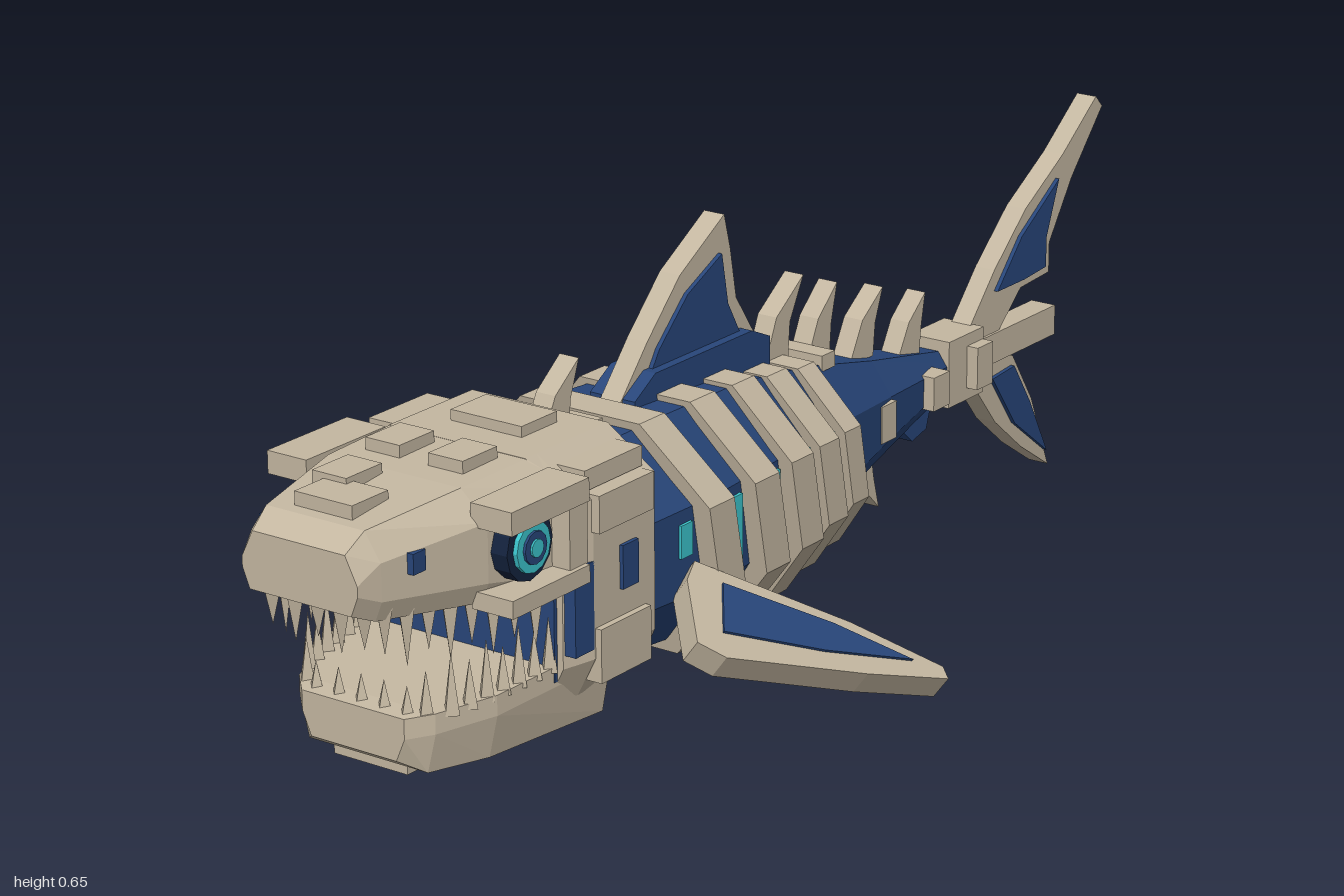
import * as THREE from 'three';

export function createModel() {
  const root = new THREE.Group();
  const mat = (name, color) => Object.assign(new THREE.MeshStandardMaterial({ color }), { name });
  const bone = mat('bone', 0xc4b7a1);
  const navy = mat('navy', 0x28467a);
  const teal = mat('teal', 0x3cc4cc);
  const dark = mat('dark', 0x14233f);

  const add = (name, geo, m) => {
    const g = geo.index ? geo.toNonIndexed() : geo;
    g.computeVertexNormals(); // faceted look
    const mesh = new THREE.Mesh(g, m);
    mesh.name = name;
    root.add(mesh);
    return mesh;
  };
  // box from centre and size
  const box = (name, m, x, y, z, w, h, d) =>
    add(name, new THREE.BoxGeometry(w, h, d).translate(x, y, z), m);
  const pair = (name, m, x, ...rest) => [-1, 1].forEach((s) => box(name, m, s * x, ...rest));

  // skin over cross-sections listed front to back; each ring runs counter-clockwise from the front
  const loft = (name, m, rings) => {
    const p = [];
    const tri = (...v) => v.forEach((a) => p.push(...a));
    const n = rings[0].length;
    for (let i = 0; i < rings.length - 1; i++) {
      for (let k = 0; k < n; k++) {
        const j = (k + 1) % n;
        const [a, b, c, d] = [rings[i][k], rings[i][j], rings[i + 1][k], rings[i + 1][j]];
        tri(a, c, b);
        tri(b, c, d);
      }
    }
    const last = rings[rings.length - 1];
    for (let k = 1; k < n - 1; k++) {
      tri(rings[0][0], rings[0][k], rings[0][k + 1]);
      tri(last[0], last[k + 1], last[k]);
    }
    const g = new THREE.BufferGeometry();
    g.setAttribute('position', new THREE.Float32BufferAttribute(p, 3));
    return add(name, g, m);
  };
  // mirror a right-half profile (bottom to top) into a full ring
  const ring = (z, half) => [
    ...half.map(([x, y]) => [x, y, z]),
    ...half.slice().reverse().map(([x, y]) => [-x, y, z]),
  ];
  const octHalf = (w, yb, yt) => {
    const h = yt - yb;
    return [[w * 0.55, yb], [w, yb + h * 0.3], [w, yt - h * 0.3], [w * 0.5, yt]];
  };
  const shapeOf = (pts) => new THREE.Shape(pts.map(([a, b]) => new THREE.Vector2(a, b)));
  const extrude = (shape, depth) =>
    new THREE.ExtrudeGeometry(shape, { depth, bevelEnabled: false }).translate(0, 0, -depth / 2);
  // upright plate on the centre line from (z, y) points
  const slab = (name, m, pts, t) => add(name, extrude(shapeOf(pts), t).rotateY(-Math.PI / 2), m);

  // tapering body: z, half width, bottom, top
  const body = [
    [0.5, 0.185, 0.11, 0.43], [0.3, 0.18, 0.09, 0.43], [0.1, 0.155, 0.09, 0.42], [-0.1, 0.115, 0.115, 0.385],
    [-0.3, 0.075, 0.165, 0.335], [-0.55, 0.028, 0.215, 0.28],
  ];
  loft('body', navy, body.map(([z, w, b, t]) => ring(z, octHalf(w, b, t))));
  const at = (z) => {
    let i = 0;
    while (i < body.length - 2 && z < body[i + 1][0]) i++;
    const f = (z - body[i][0]) / (body[i + 1][0] - body[i][0]);
    return body[i].map((v, k) => v + f * (body[i + 1][k] - v));
  };

  // ribs: leaning hoops around the body
  [[0.32, 0.06], [0.19, 0.06], [0.08, 0.055], [-0.015, 0.05], [-0.1, 0.042]].forEach(([z, d]) => {
    const [, w, b, t] = at(z);
    const loop = (e) => ring(0, octHalf(w + e, b - e * 0.6, t + e * 0.4));
    const s = shapeOf(loop(0.032));
    s.holes.push(new THREE.Path(loop(-0.025).map(([x, y]) => new THREE.Vector2(x, y))));
    const g = extrude(s, d);
    const p = g.attributes.position;
    for (let i = 0; i < p.count; i++) p.setZ(i, p.getZ(i) + z + (p.getY(i) - 0.25) * 0.2);
    add('rib', g, bone);
  });
  // glowing panels between the ribs
  [[0.385, 0.05], [0.252, 0.11], [0.138, 0.11], [0.035, 0.11], [-0.055, 0.1]].forEach(([z, h]) => {
    const [, w] = at(z);
    pair('glowPanel', teal, w, h < 0.1 ? 0.285 : 0.255, z, 0.009, h, 0.028);
  });

  // bone bands on the back and tail
  box('neckBand', bone, 0, 0.435, 0.43, 0.12, 0.03, 0.035);
  box('backBand', bone, 0, 0.38, -0.15, 0.12, 0.025, 0.035);
  box('tailStrap', bone, 0, 0.25, -0.28, 0.17, 0.06, 0.04);
  box('tailStrap', bone, 0, 0.25, -0.45, 0.14, 0.055, 0.045);

  // swept spines above and below the tail: front base z, y, tip z, y
  [[0.5, 0.42, 0.41, 0.53], [-0.04, 0.38, -0.145, 0.51], [-0.15, 0.355, -0.235, 0.475],
    [-0.27, 0.33, -0.36, 0.435], [-0.4, 0.295, -0.48, 0.395]].forEach(([z, y, tz, ty]) =>
    slab('backSpine', bone, [[z, y], [z - 0.065, y], [z - 0.07, y + (ty - y) * 0.5], [tz, ty], [z - 0.035, y + (ty - y) * 0.62]], 0.034));
  [[-0.12, 0.16, -0.2, 0.08], [-0.27, 0.185, -0.355, 0.075]].forEach(([z, y, tz, ty]) =>
    slab('bellySpine', bone, [[z, y], [z - 0.06, y], [z - 0.07, (y + ty) / 2], [tz, ty], [z - 0.04, y * 0.4 + ty * 0.6]], 0.034));
  slab('bellyFin', navy, [[-0.13, 0.17], [-0.24, 0.18], [-0.21, 0.14], [-0.16, 0.14]], 0.045);
  slab('bellyFin', navy, [[-0.37, 0.22], [-0.5, 0.23], [-0.48, 0.17], [-0.44, 0.16]], 0.045);

  // dorsal fin
  slab('dorsalRim', bone, [[0.32, 0.43], [0.25, 0.51], [0.17, 0.59], [0.06, 0.655], [0.045, 0.6], [0.03, 0.52], [-0.025, 0.44]], 0.036);
  slab('dorsalWeb', navy, [[0.26, 0.45], [0.23, 0.495], [0.16, 0.56], [0.075, 0.6], [0.06, 0.52], [0.02, 0.45]], 0.05);
  slab('dorsalBase', navy, [[0.31, 0.4], [0.31, 0.44], [0.26, 0.47], [0.02, 0.47], [-0.025, 0.45], [-0.025, 0.38]], 0.08);

  // tail fin
  box('tailJoint', bone, 0, 0.25, -0.57, 0.075, 0.11, 0.1);
  box('tailJointCap', bone, 0, 0.25, -0.595, 0.115, 0.07, 0.045);
  box('tailBar', bone, 0, 0.25, -0.73, 0.045, 0.05, 0.26);
  slab('upperTailRim', bone, [[-0.58, 0.27], [-0.68, 0.38], [-0.77, 0.46], [-0.88, 0.525], [-0.98, 0.6], [-1, 0.58], [-0.91, 0.48], [-0.845, 0.385], [-0.845, 0.335], [-0.76, 0.33], [-0.68, 0.26]], 0.036);
  slab('upperTailWeb', navy, [[-0.68, 0.345], [-0.75, 0.42], [-0.86, 0.49], [-0.825, 0.4], [-0.825, 0.35], [-0.76, 0.345]], 0.05);
  slab('lowerTailRim', bone, [[-0.59, 0.24], [-0.66, 0.24], [-0.74, 0.22], [-0.8, 0.13], [-0.855, 0.0], [-0.77, 0.055], [-0.69, 0.12]], 0.036);
  slab('lowerTailWeb', navy, [[-0.67, 0.2], [-0.735, 0.205], [-0.785, 0.13], [-0.84, 0.03], [-0.74, 0.105]], 0.05);

  // side fins, sloping down and back
  for (const s of [-1, 1]) {
    const fin = (name, m, pts, t) =>
      add(name, extrude(shapeOf(pts.map(([u, z]) => [s * u, -z])), t)
        .rotateX(-Math.PI / 2).rotateZ(-s * 0.64).translate(s * 0.2, 0.215, 0), m);
    fin('sideFin', bone, [[-0.03, 0.37], [-0.01, 0.41], [0.08, 0.485], [0.12, 0.46], [0.24, 0.25], [0.305, 0.12], [0.285, 0.11], [0.16, 0.2]], 0.042);
    fin('sideFinWeb', navy, [[0.02, 0.36], [0.085, 0.43], [0.18, 0.29], [0.255, 0.155], [0.15, 0.235]], 0.05);
  }

  // skull: z, top, bottom edge, top half width, side half width
  loft('skull', bone, [
    [1.0, 0.43, 0.345, 0.08, 0.1], [0.965, 0.455, 0.33, 0.085, 0.112], [0.8, 0.472, 0.315, 0.115, 0.16],
    [0.64, 0.475, 0.285, 0.12, 0.18],
  ].map(([z, t, b, wt, w]) => ring(z, [[w - 0.035, Math.max(b, 0.338)], [w - 0.012, b], [w, b + 0.03], [w, t - 0.04], [wt, t]])));
  // back of the head
  loft('headBack', bone, [
    [0.665, 0.18, 0.12], [0.62, 0.2, 0.125], [0.48, 0.2, 0.125],
  ].map(([z, w, b]) => ring(z, [[w - 0.03, b], [w, b + 0.06], [w, 0.42], [0.12, 0.475]])));
  box('throat', navy, 0, 0.25, 0.667, 0.34, 0.18, 0.009);
  pair('throatSide', navy, 0.185, 0.265, 0.64, 0.03, 0.13, 0.045);

  // lower jaw
  loft('lowerJaw', bone, [
    [0.9, 0.09, 0.1, 0.165], [0.87, 0.12, 0.08, 0.17], [0.78, 0.155, 0.08, 0.175], [0.56, 0.182, 0.08, 0.19],
  ].map(([z, w, b, t]) => ring(z, [[w - 0.015, b], [w, t - 0.03], [w, t], [w - 0.03, t]])));
  box('chinPlate', bone, 0, 0.075, 0.81, 0.13, 0.02, 0.11);
  box('throatPlate', bone, 0, 0.095, 0.58, 0.215, 0.07, 0.07);

  // head armour
  pair('brow', bone, 0.178, 0.445, 0.73, 0.07, 0.034, 0.17);
  pair('cheekBar', bone, 0.178, 0.323, 0.73, 0.07, 0.026, 0.17);
  pair('cheekPost', bone, 0.178, 0.385, 0.66, 0.055, 0.1, 0.04);
  pair('templePlate', bone, 0.17, 0.4, 0.56, 0.085, 0.055, 0.125);
  pair('templeTop', bone, 0.155, 0.445, 0.56, 0.07, 0.03, 0.13);
  pair('jawHinge', bone, 0.19, 0.19, 0.56, 0.04, 0.08, 0.115);
  pair('headVent', navy, 0.2, 0.303, 0.543, 0.012, 0.065, 0.036);
  box('crownPlate', bone, 0, 0.48, 0.56, 0.125, 0.022, 0.08);
  pair('foreheadPlate', bone, 0.055, 0.48, 0.72, 0.06, 0.022, 0.075);
  box('snoutPlate', bone, 0, 0.466, 0.91, 0.1, 0.022, 0.075);
  box('snoutPlate', bone, -0.04, 0.475, 0.85, 0.06, 0.02, 0.075);
  pair('nostril', navy, 0.128, 0.405, 0.912, 0.012, 0.03, 0.026);

  // eyes: stacked discs
  for (const s of [-1, 1]) {
    [[0.05, 0.188, dark, 'eyeSocket'], [0.037, 0.195, teal, 'eyeRing'], [0.024, 0.199, navy, 'iris'], [0.013, 0.202, teal, 'pupil']]
      .forEach(([r, x, m, name]) =>
        add(name, new THREE.CylinderGeometry(r, r, 0.04, 12).rotateZ(Math.PI / 2).translate(s * (x - 0.02), 0.388, 0.745), m));
  }

  // teeth: four-sided cones, dir is +1 up or -1 down
  const tooth = (x, y, z, len, dir, r = 0.014) => {
    const g = new THREE.ConeGeometry(r, len, 4).translate(0, len / 2, 0);
    if (dir < 0) g.rotateX(Math.PI);
    add('tooth', g.translate(x, y, z), bone);
  };
  for (let i = -2; i <= 2; i++) {
    tooth(i * 0.04, 0.345, 0.965, i % 2 ? 0.075 : 0.06, -1, 0.017);
    tooth(i * 0.04, 0.155, 0.88, 0.05, 1);
  }
  for (const s of [-1, 1]) {
    for (let i = 0; i < 8; i++) {
      const f = i / 7;
      tooth(s * (0.098 + 0.058 * f), 0.35 - 0.04 * f, 0.945 - 0.25 * f, 0.075 + 0.02 * (i % 2), -1, 0.016);
      tooth(s * (0.105 + 0.055 * Math.sqrt(f)), 0.16 + 0.015 * f, 0.87 - 0.2 * f, 0.07 + 0.02 * (i % 2), 1);
    }
  }
  return root;
}
